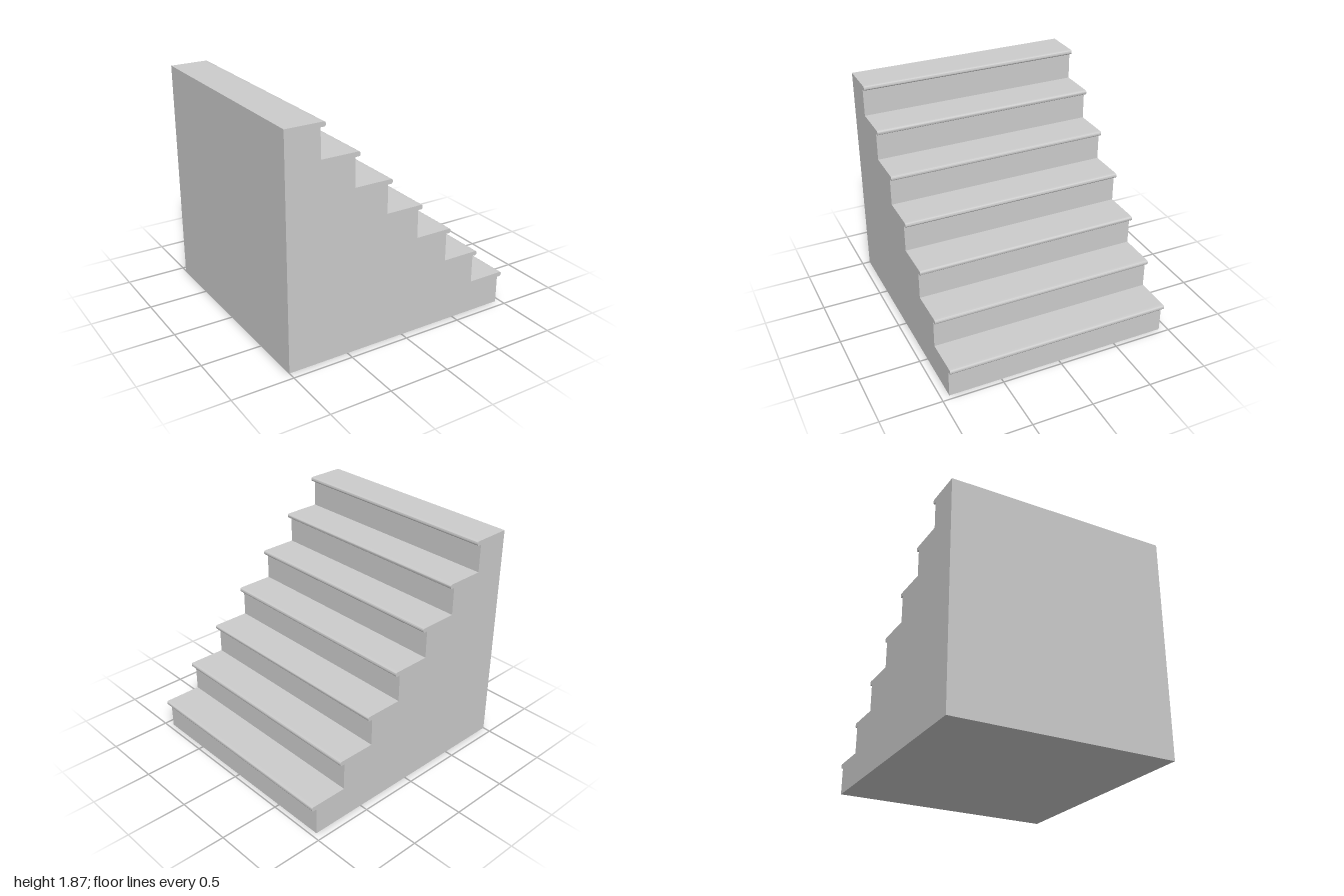
import * as THREE from 'three';
import { toCreasedNormals } from 'three/addons/utils/BufferGeometryUtils.js';

const STEPS = 7;
const HEIGHT = 1.867;
const DEPTH = 1.867;
const RISE = HEIGHT / STEPS;
const RUN = 0.28;
const BACK_X = -1;
const FIRST_RISER_X = 0.96;
const LIP = 0.04;          // overhang of each nosing
const LIP_THICK = 0.037;
const ROUND = 0.014;       // rounding of the nosing edges

const material = new THREE.MeshStandardMaterial({ color: 0xcccccc });

// Extrude an XY profile across the full width of the flight, centred on z
function extrudeAcross(shape, name) {
  const geometry = new THREE.ExtrudeGeometry(shape, { depth: DEPTH, bevelEnabled: false, curveSegments: 5 });
  geometry.translate(0, 0, -DEPTH / 2);
  const mesh = new THREE.Mesh(toCreasedNormals(geometry, Math.PI / 5), material);
  mesh.name = name;
  return mesh;
}

// Solid stepped block
function createBody() {
  const shape = new THREE.Shape();
  shape.moveTo(BACK_X, 0);
  for (let i = 0; i < STEPS; i++) {
    const x = FIRST_RISER_X - i * RUN;
    shape.lineTo(x, i * RISE);
    shape.lineTo(x, (i + 1) * RISE);
  }
  shape.lineTo(BACK_X, HEIGHT);
  shape.closePath();
  return extrudeAcross(shape, 'stairBody');
}

// Rounded lip overhanging a riser, its top flush with the tread
function createNosing(i) {
  const x = FIRST_RISER_X - i * RUN;
  const top = (i + 1) * RISE;
  const bottom = top - LIP_THICK;
  const tip = x + LIP;
  const shape = new THREE.Shape();
  shape.moveTo(x, top);
  shape.lineTo(x, bottom);
  shape.lineTo(tip - ROUND, bottom);
  shape.absarc(tip - ROUND, bottom + ROUND, ROUND, -Math.PI / 2, 0, false);
  shape.absarc(tip - ROUND, top - ROUND, ROUND, 0, Math.PI / 2, false);
  shape.closePath();
  return extrudeAcross(shape, `nosing${i + 1}`);
}

export function createModel() {
  const stairs = new THREE.Group();
  stairs.name = 'staircase';
  stairs.add(createBody());
  for (let i = 0; i < STEPS; i++) stairs.add(createNosing(i));
  return stairs;
}
